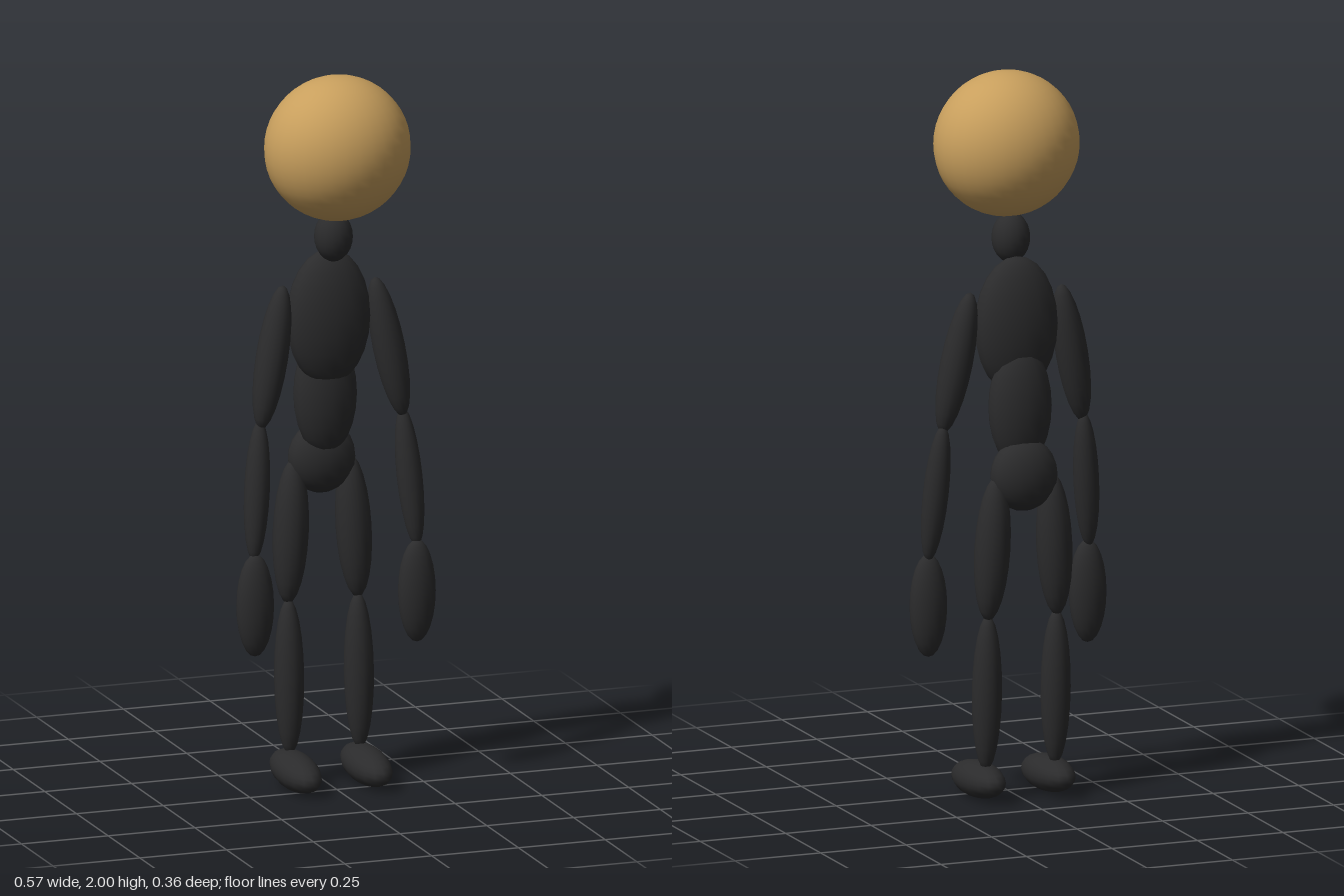
import * as THREE from 'three';

const tan = new THREE.MeshStandardMaterial({ name: 'tan', color: 0xc89f5d });
const charcoal = new THREE.MeshStandardMaterial({ name: 'charcoal', color: 0x2b2b2c });

const ballGeometry = new THREE.SphereGeometry(1, 16, 12);
const headGeometry = new THREE.SphereGeometry(1, 32, 24);
const UP = new THREE.Vector3(0, 1, 0);

// Ellipsoid from its centre and its three radii
function ellipsoid(name, center, radii, geometry = ballGeometry, material = charcoal) {
  const mesh = new THREE.Mesh(geometry, material);
  mesh.name = name;
  mesh.position.set(...center);
  mesh.scale.set(...radii);
  return mesh;
}

// Slim ellipsoid stretched between two joints
function limb(name, top, bottom, radius) {
  const a = new THREE.Vector3(...top);
  const b = new THREE.Vector3(...bottom);
  const axis = a.clone().sub(b);
  const center = a.clone().add(b).multiplyScalar(0.5);
  const mesh = ellipsoid(name, center.toArray(), [radius, axis.length() / 2, radius]);
  mesh.quaternion.setFromUnitVectors(UP, axis.normalize());
  return mesh;
}

export function createModel() {
  const model = new THREE.Group();
  model.name = 'mannequin';

  // Head and torso
  model.add(
    ellipsoid('head', [0, 1.8, 0.005], [0.202, 0.2, 0.177], headGeometry, tan),
    ellipsoid('neck', [0, 1.545, -0.026], [0.053, 0.07, 0.051]),
    ellipsoid('chest', [0, 1.31, -0.065], [0.12, 0.19, 0.068]),
    ellipsoid('abdomen', [0, 1.09, -0.092], [0.09, 0.172, 0.062]),
    ellipsoid('pelvis', [0, 0.905, -0.12], [0.096, 0.1, 0.062])
  );

  // Arms and legs, mirrored
  for (const [side, s] of [['left', 1], ['right', -1]]) {
    const arm = new THREE.Group();
    arm.name = side + 'Arm';
    arm.add(
      limb('upperArm', [s * 0.132, 1.41, -0.062], [s * 0.205, 1.02, -0.038], 0.044),
      limb('forearm', [s * 0.205, 1.045, -0.045], [s * 0.235, 0.66, -0.01], 0.035),
      ellipsoid('hand', [s * 0.233, 0.537, -0.006], [0.053, 0.143, 0.04])
    );

    const leg = new THREE.Group();
    leg.name = side + 'Leg';
    const foot = ellipsoid('foot', [s * 0.102, 0.052, -0.045], [0.057, 0.05, 0.138]);
    foot.rotation.x = 0.05;
    leg.add(
      limb('thigh', [s * 0.08, 0.905, -0.121], [s * 0.101, 0.505, -0.11], 0.049),
      limb('shin', [s * 0.1, 0.52, -0.108], [s * 0.101, 0.085, -0.094], 0.041),
      foot
    );
    model.add(arm, leg);
  }
  return model;
}
